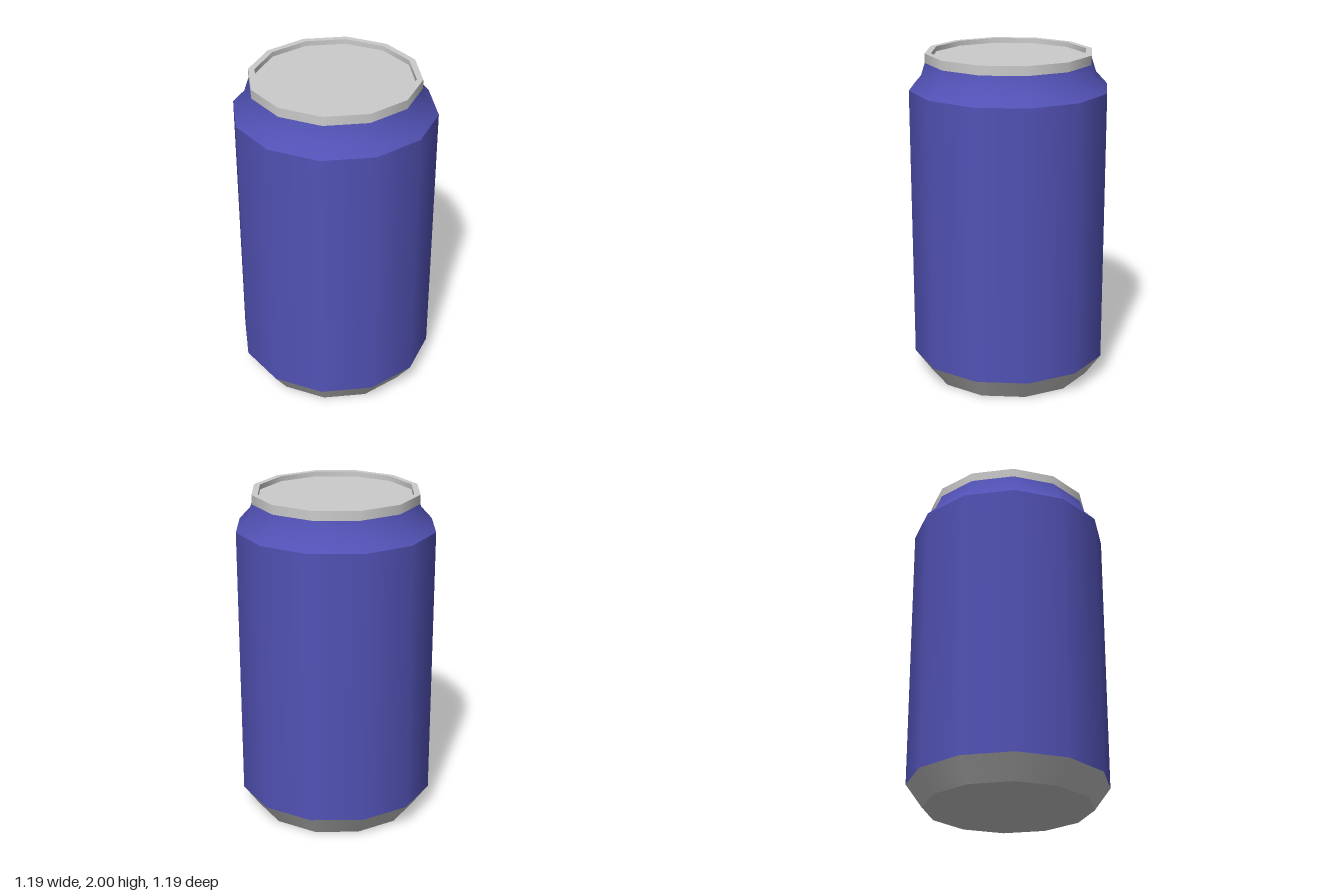
import * as THREE from 'three';

const SIDES = 12;

export function createModel() {
  const group = new THREE.Group();
  const metal = new THREE.MeshStandardMaterial({ color: 0xcccccc });
  const paint = new THREE.MeshStandardMaterial({ color: 0x5252b6 });

  function add(name, geometry, material) {
    const mesh = new THREE.Mesh(geometry, material);
    mesh.name = name;
    group.add(mesh);
  }
  // Turned band, smooth around; profile is [radius, height] pairs, outside on the right going up
  function band(name, profile, material) {
    const points = profile.map(([r, y]) => new THREE.Vector2(r, y));
    add(name, new THREE.LatheGeometry(points, SIDES), material);
  }
  // Flat disc facing up (1) or down (-1)
  function disc(name, radius, y, facing) {
    const geometry = new THREE.CircleGeometry(radius, SIDES);
    geometry.rotateX(-facing * Math.PI / 2).translate(0, y, 0);
    add(name, geometry, metal);
  }

  // Base
  disc('bottom', 0.5, 0, -1);
  band('bottomChamfer', [[0.5, 0], [0.597, 0.135]], metal);

  // Painted can wall and neck
  band('body', [[0.597, 0.135], [0.597, 1.785]], paint);
  band('neck', [[0.597, 1.785], [0.528, 1.86], [0.5, 1.945]], paint);

  // Raised rim around a recessed lid
  band('rimOuter', [[0.5, 1.945], [0.5, 2]], metal);
  band('rimTop', [[0.5, 2], [0.463, 2]], metal);
  band('rimInner', [[0.463, 2], [0.463, 1.97]], metal);
  disc('lid', 0.463, 1.97, 1);

  return group;
}
